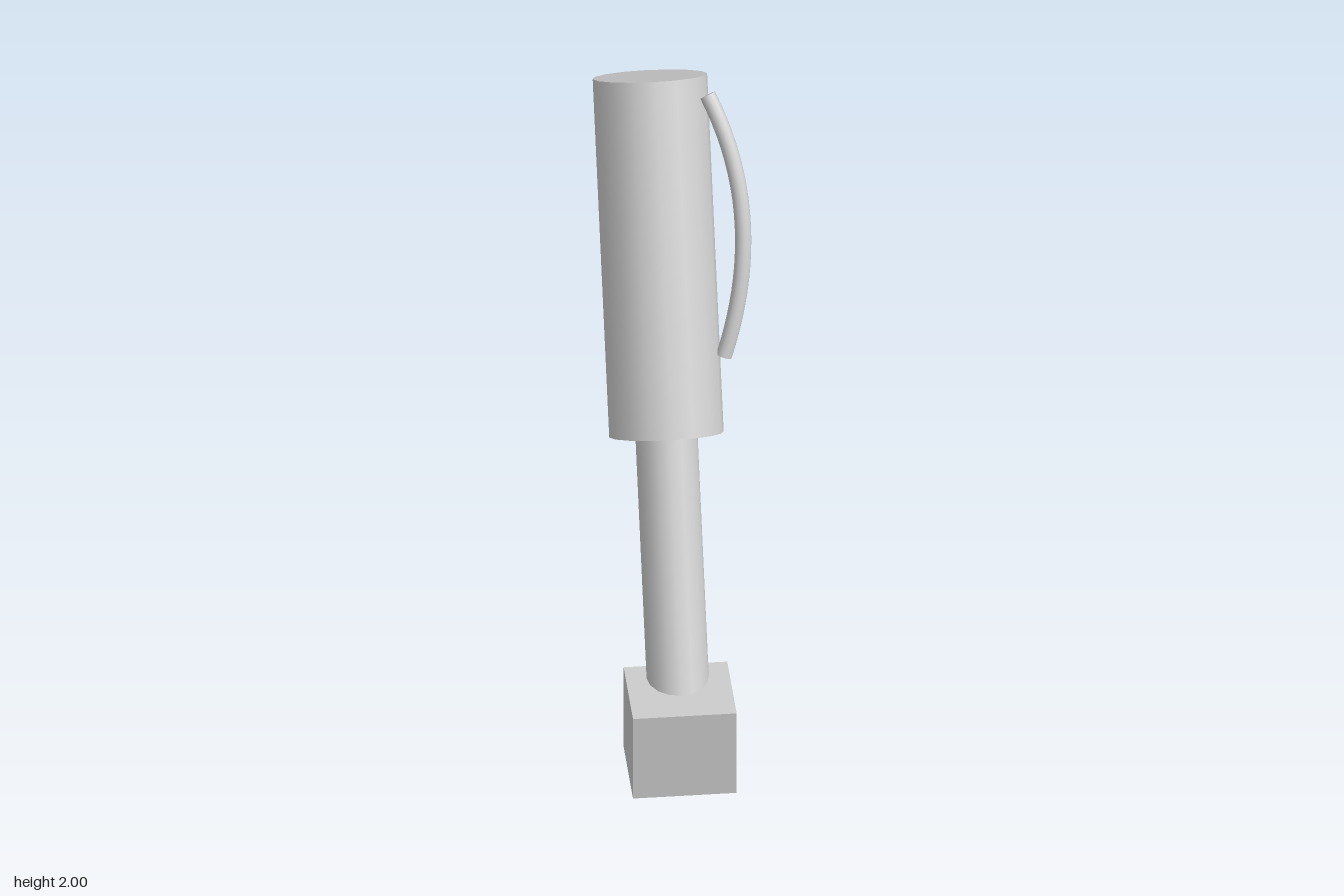
import * as THREE from 'three';

export function createModel() {
  const group = new THREE.Group();
  const grey = new THREE.MeshStandardMaterial({ color: 0xcccccc });
  grey.name = 'light grey';

  function add(name, geometry, parent = group) {
    const mesh = new THREE.Mesh(geometry, grey);
    mesh.name = name;
    parent.add(mesh);
    return mesh;
  }

  // Cylinder whose axis runs between two points
  const up = new THREE.Vector3(0, 1, 0);
  function rod(name, from, to, radius) {
    const axis = to.clone().sub(from);
    const mesh = add(name, new THREE.CylinderGeometry(radius, radius, axis.length(), 16));
    mesh.position.copy(from).add(to).multiplyScalar(0.5);
    mesh.quaternion.setFromUnitVectors(up, axis.normalize());
  }

  // Square foot
  const foot = add('footBlock', new THREE.BoxGeometry(0.317, 0.29, 0.287));
  foot.position.set(-0.052, 0.145, 0.469);

  // Leaning shaft and the thick sleeve on the same axis
  const sleeveBottom = new THREE.Vector3(-0.052, 0.948, 0.05);
  rod('shaft', new THREE.Vector3(-0.052, 0.145, 0.467), sleeveBottom.clone(), 0.095);
  rod('sleeve', sleeveBottom, new THREE.Vector3(-0.052, 1.922, -0.456), 0.175);

  // Bowed handle on the left side, with flat end caps
  const handle = new THREE.Group();
  handle.name = 'handle';
  group.add(handle);
  const curve = new THREE.QuadraticBezierCurve3(
    new THREE.Vector3(0.112, 1.925, -0.33),
    new THREE.Vector3(0.28, 1.607, -0.123),
    new THREE.Vector3(0.13, 1.182, -0.012)
  );
  const radius = 0.025;
  add('handleBar', new THREE.TubeGeometry(curve, 20, radius, 12), handle);
  for (const t of [0, 1]) {
    const cap = add('handleCap', new THREE.CircleGeometry(radius, 12), handle);
    const outward = curve.getTangent(t).multiplyScalar(t ? 1 : -1);
    cap.position.copy(curve.getPoint(t));
    cap.quaternion.setFromUnitVectors(new THREE.Vector3(0, 0, 1), outward);
  }

  return group;
}
